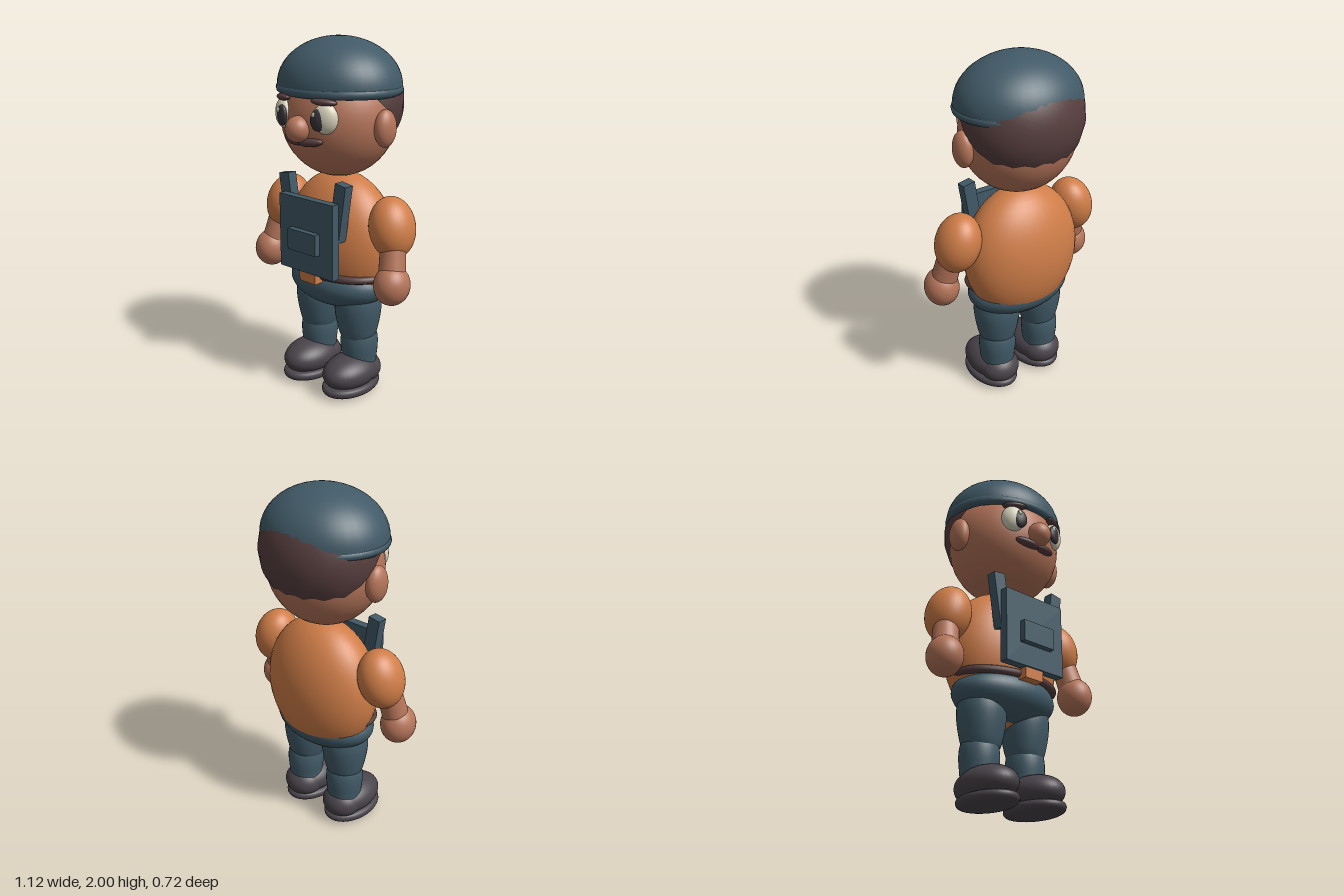
import * as THREE from 'three';

const mat = (name, color, side = THREE.FrontSide) => {
  const m = new THREE.MeshStandardMaterial({ color, side });
  m.name = name;
  return m;
};

export function createModel() {
  const teal = mat('teal cloth', 0x415a67, THREE.DoubleSide);
  const orange = mat('orange shirt', 0xcf7d48);
  const skin = mat('skin', 0xb5755a);
  const brown = mat('dark brown hair', 0x573e3e, THREE.DoubleSide);
  const shoe = mat('shoe grey', 0x4a444b);
  const cream = mat('eye cream', 0xd9d3bd);
  const dark = mat('pupil dark', 0x39343a);

  const model = new THREE.Group();
  model.name = 'workman';

  // Adds one named mesh to a parent
  const add = (name, geo, material, pos = [0, 0, 0], rot = [0, 0, 0], parent = model) => {
    const m = new THREE.Mesh(geo, material);
    m.name = name;
    m.position.set(...pos);
    m.rotation.set(...rot);
    parent.add(m);
    return m;
  };
  const ball = (rx, ry, rz) => new THREE.SphereGeometry(1, 36, 24).scale(rx, ry, rz);
  const box = (w, h, d) => new THREE.BoxGeometry(w, h, d);
  const lathe = (pts) => new THREE.LatheGeometry(
    new THREE.SplineCurve(pts.map(([x, y]) => new THREE.Vector2(x, y))).getPoints(20), 32);

  // Head and face
  add('head', ball(0.327, 0.33, 0.307), skin, [0, 1.575, -0.015]);
  add('nose', ball(0.068, 0.07, 0.068), skin, [0, 1.54, 0.297]);

  // Hair: tilted shell over the back of the head
  const hairGeo = new THREE.SphereGeometry(1, 20, 16, 0, Math.PI * 2, 0, 1.7)
    .rotateX(-0.69).scale(0.346, 0.328, 0.303);
  add('hair', hairGeo, brown, [0, 1.66, -0.055]);

  // Cap: dome and rolled rim
  const dome = new THREE.SphereGeometry(1, 36, 14, 0, Math.PI * 2, 0, Math.PI / 2)
    .scale(0.357, 0.26, 0.316);
  add('capDome', dome, teal, [0, 1.74, -0.02]);
  const rim = new THREE.TorusGeometry(1, 0.08, 10, 36).rotateX(Math.PI / 2)
    .scale(0.337, 0.34, 0.296);
  add('capRim', rim, teal, [0, 1.726, -0.018]);

  // Torso, trousers and belt
  add('shirt', ball(0.355, 0.4, 0.237), orange, [0, 0.868, -0.04]);
  add('trouserSeat', ball(0.32, 0.145, 0.214), teal, [0, 0.632, -0.014]);
  const beltGeo = new THREE.TorusGeometry(1, 0.1, 10, 40).rotateX(Math.PI / 2)
    .scale(0.303, 0.22, 0.188);
  add('belt', beltGeo, brown, [0, 0.713, 0]);
  add('buckle', box(0.12, 0.06, 0.06), orange, [0, 0.705, 0.21]);

  // Overall bib and pocket
  add('bib', box(0.4, 0.42, 0.05), teal, [0, 0.945, 0.225]);
  add('bibPocket', box(0.21, 0.12, 0.04), teal, [0, 0.92, 0.265]);

  // Sole and leg profiles
  const soleGeo = lathe([[0, 0], [0.6, 0.006], [0.9, 0.018], [1, 0.04], [0.96, 0.062], [0.8, 0.072]])
    .scale(0.135, 1, 0.197);
  const thighGeo = lathe([[0.1, 0.33], [0.113, 0.37], [0.13, 0.46], [0.133, 0.54], [0.11, 0.6], [0.001, 0.63]]);
  const shinGeo = lathe([[0.098, 0.1], [0.1, 0.18], [0.108, 0.27], [0.104, 0.33], [0.09, 0.37]]);

  // Mirrored parts: s = 1 is the model's left
  for (const s of [1, -1]) {
    const side = s > 0 ? 'left' : 'right';
    const put = (name, geo, m, [x, y, z], [rx, ry, rz] = [0, 0, 0]) =>
      add(side + name, geo, m, [s * x, y, z], [rx, s * ry, s * rz]);

    // Ear, eye, brow and half of the moustache
    put('Ear', ball(0.05, 0.1, 0.07), skin, [0.34, 1.545, 0]);
    put('Eye', ball(0.068, 0.08, 0.042), cream, [0.152, 1.605, 0.25], [0, 0.4, 0]);
    put('Pupil', ball(0.042, 0.056, 0.02), dark, [0.13, 1.598, 0.285], [0, 0.25, 0]);
    add(side + 'EyeGlint', ball(0.012, 0.014, 0.006), cream, [s * 0.13 - 0.014, 1.627, 0.302]);
    put('Brow', ball(0.07, 0.02, 0.03), brown, [0.147, 1.69, 0.256], [0, 0.45, -0.06]);
    put('Moustache', ball(0.075, 0.024, 0.03), brown, [0.062, 1.474, 0.268], [0, 0.2, 0.12]);

    // Bib strap
    put('Strap', box(0.075, 0.32, 0.058), teal, [0.187, 1.1, 0.175], [0, 0, -0.156]);

    // Arm: sleeve, forearm, hand
    put('Sleeve', ball(0.122, 0.168, 0.133), orange, [0.395, 1.022, -0.005], [-0.1, 0, 0.25]);
    const from = new THREE.Vector3(0.425, 0.96, 0.02), to = new THREE.Vector3(0.46, 0.74, 0.072);
    const dir = from.clone().sub(to);
    const mid = from.clone().add(to).multiplyScalar(0.5);
    dir.x *= s;
    mid.x *= s;
    const forearm = add(side + 'Forearm',
      new THREE.CylinderGeometry(0.068, 0.075, dir.length(), 28), skin, mid.toArray());
    forearm.quaternion.setFromUnitVectors(new THREE.Vector3(0, 1, 0), dir.normalize());
    put('Hand', ball(0.096, 0.11, 0.104), skin, [0.463, 0.735, 0.073]);

    // Leg and shoe
    put('Thigh', thighGeo, teal, [0.152, 0, -0.013]);
    put('Shin', shinGeo, teal, [0.157, 0, -0.02]);
    put('ShoeUpper', ball(0.133, 0.1, 0.193), shoe, [0.157, 0.126, 0.05]);
    put('ShoeHeel', ball(0.118, 0.095, 0.11), shoe, [0.157, 0.118, -0.04]);
    put('ShoeSole', soleGeo, shoe, [0.157, 0, 0.05]);
  }
  return model;
}
